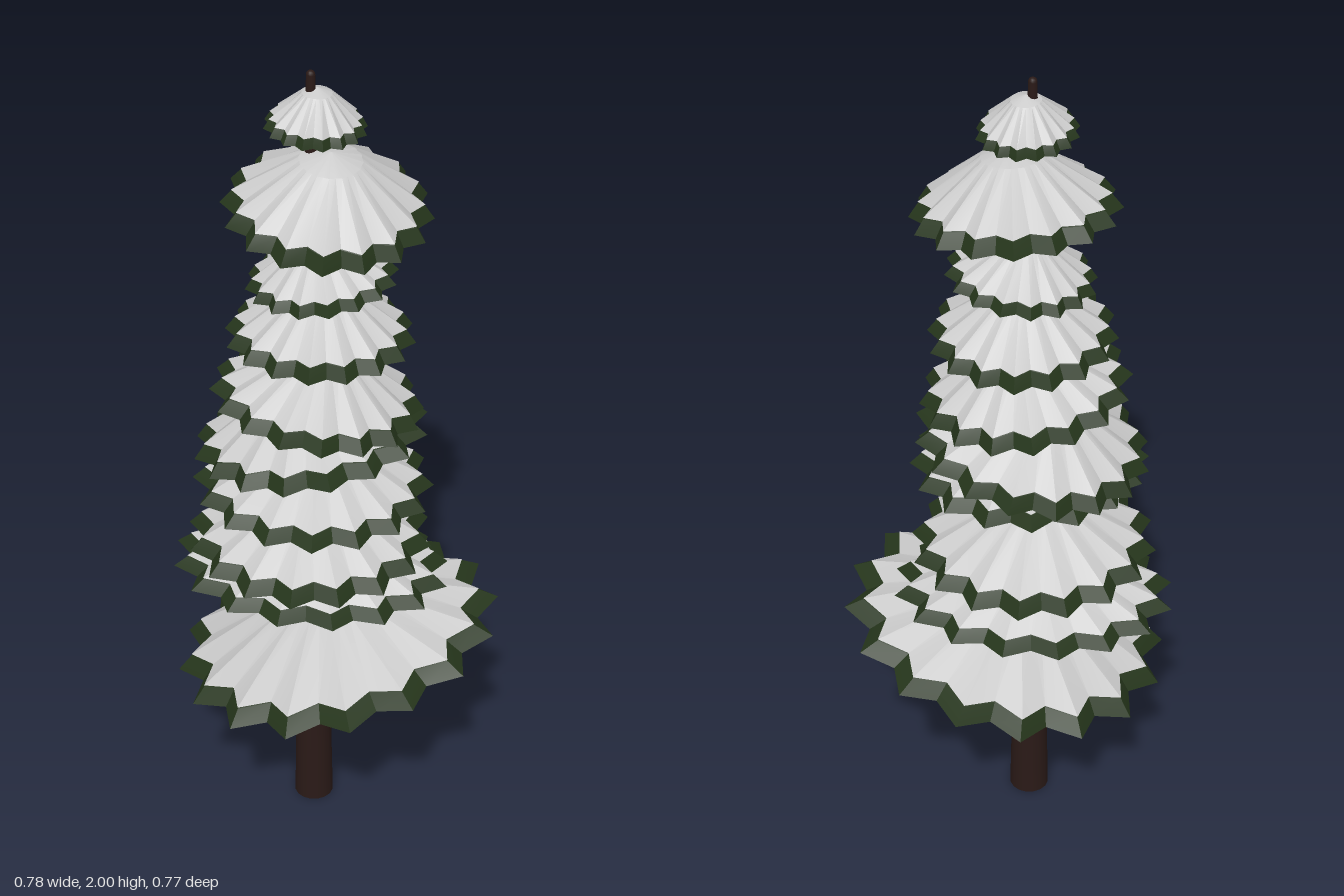
import * as THREE from 'three';
import { toCreasedNormals } from 'three/addons/utils/BufferGeometryUtils.js';

const POINTS = 16;
const TRUNK_X = -0.055;

const snowMat = new THREE.MeshStandardMaterial({ color: 0xcccccc, side: THREE.DoubleSide });
const needleMat = new THREE.MeshStandardMaterial({ color: 0x25351b, side: THREE.DoubleSide });
const barkMat = new THREE.MeshStandardMaterial({ color: 0x2a1a17 });

// rim centre x, y, z | radius x, z | height | rim slope along x, z | turn in degrees
const TIERS = [
  [-0.045, 1.865, 0, 0.112, 0.112, 0.095, -0.04, 0.04, 3],
  [-0.02, 1.665, 0, 0.232, 0.23, 0.155, -0.08, -0.1, 14],
  [-0.03, 1.495, 0.01, 0.17, 0.167, 0.105, 0.1, 0, 6],
  [-0.035, 1.345, 0.005, 0.213, 0.215, 0.14, -0.01, 0.05, 18],
  [-0.04, 1.185, 0.02, 0.243, 0.24, 0.14, -0.12, 0.06, 9],
  [-0.06, 1.06, -0.01, 0.272, 0.26, 0.145, 0.16, 0.05, 2],
  [-0.045, 0.97, 0.04, 0.275, 0.27, 0.13, -0.03, 0, 12],
  [-0.065, 0.775, -0.015, 0.285, 0.285, 0.145, -0.01, 0, 20],
  [-0.07, 0.66, -0.05, 0.33, 0.25, 0.13, -0.01, 0, 5],
  [0.005, 0.5, 0, 0.39, 0.39, 0.15, 0.235, 0, 7],
];

// Pleated, star-edged dome; profile rows are [radius, height, valley radius factor]
function pleatedDome(profile, rx, rz, h, turn) {
  const n = POINTS * 2;
  const pos = [0, profile[0][1] * h, 0];
  const index = [];
  profile.slice(1).forEach(([r, y, valley], row) => {
    for (let i = 0; i < n; i++) {
      const a = turn + (i / n) * Math.PI * 2;
      const k = i % 2 ? r * valley : r;
      pos.push(Math.cos(a) * k * rx, y * h, Math.sin(a) * k * rz);
      const j = (i + 1) % n;
      const cur = 1 + row * n;
      const prev = cur - n;
      if (row === 0) index.push(0, cur + j, cur + i);
      else index.push(prev + i, cur + j, cur + i, prev + i, prev + j, cur + j);
    }
  });
  const geo = new THREE.BufferGeometry();
  geo.setAttribute('position', new THREE.Float32BufferAttribute(pos, 3));
  geo.setIndex(index);
  return toCreasedNormals(geo, 0.35);
}

export function createModel() {
  const tree = new THREE.Group();
  tree.name = 'snowyTree';

  // Tapered trunk with a rounded tip
  const trunk = new THREE.Mesh(new THREE.CylinderGeometry(0.01, 0.047, 1.99, 16), barkMat);
  trunk.name = 'trunk';
  trunk.position.set(TRUNK_X, 0.995, 0);
  const tip = new THREE.Mesh(new THREE.SphereGeometry(0.01, 12, 8), barkMat);
  tip.name = 'trunkTip';
  tip.position.set(TRUNK_X, 1.99, 0);
  tree.add(trunk, tip);

  // Snow-covered branch tiers
  const snowRows = [[0, 1], [0.3, 0.87, 0.97], [0.9, 0.23, 0.87]];
  const needleRows = [[0, 0.95], [0.3, 0.81, 0.97], [0.9, 0.21, 0.87], [1, 0, 0.87]];
  TIERS.forEach(([x, y, z, rx, rz, h, sx, sz, turn], i) => {
    const tier = new THREE.Group();
    tier.name = `branchTier${i + 1}`;
    const a = THREE.MathUtils.degToRad(turn);
    const needles = new THREE.Mesh(pleatedDome(needleRows, rx, rz, h, a), needleMat);
    needles.name = 'needles';
    const snow = new THREE.Mesh(pleatedDome(snowRows, rx, rz, h, a), snowMat);
    snow.name = 'snow';
    tier.add(needles, snow);
    tier.position.set(x, y, z);
    tier.rotation.set(-Math.atan(sz), 0, Math.atan(sx));
    tree.add(tier);
  });
  return tree;
}
